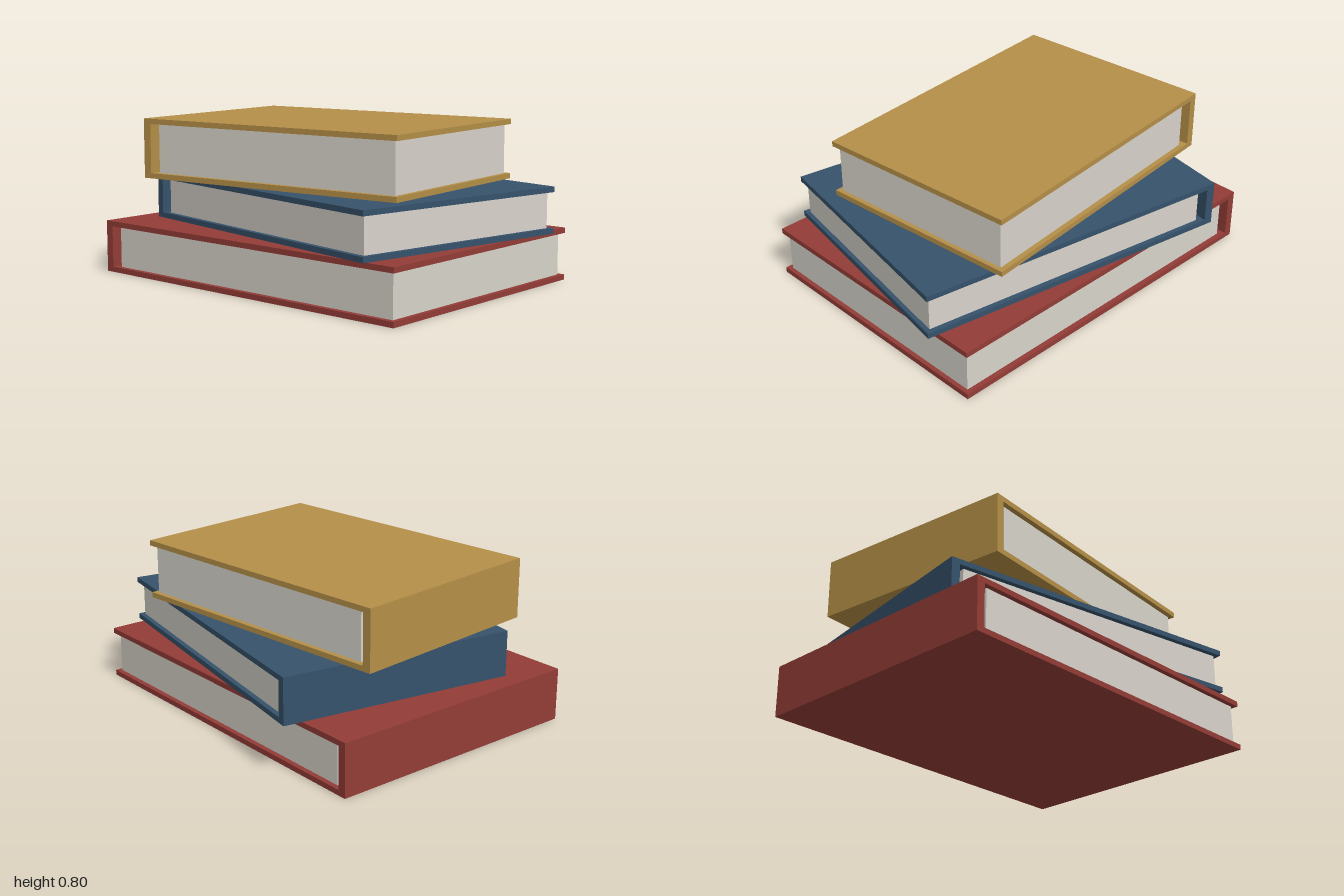
import * as THREE from 'three';

const BOARD = 0.027;  // cover thickness
const SPINE = 0.044;  // spine thickness
const GAP = 0.036;    // space between spine and pages
const INSET = 0.026;  // how far the covers overhang the pages

const material = (name, color) => {
  const m = new THREE.MeshStandardMaterial({ color });
  m.name = name;
  return m;
};

function makeBook(name, width, height, depth, cover, paper) {
  const book = new THREE.Group();
  book.name = name;
  const w = width / 2;

  // Covers and spine as one C-shaped profile, open towards +x
  const profile = new THREE.Shape([
    [-w, 0], [w, 0], [w, BOARD], [-w + SPINE, BOARD],
    [-w + SPINE, height - BOARD], [w, height - BOARD], [w, height], [-w, height],
  ].map(([x, y]) => new THREE.Vector2(x, y)));
  const caseGeometry = new THREE.ExtrudeGeometry(profile, { depth, bevelEnabled: false });
  caseGeometry.translate(0, 0, -depth / 2);
  const binding = new THREE.Mesh(caseGeometry, cover);
  binding.name = 'coverAndSpine';

  // Page block
  const left = -w + SPINE + GAP, right = w - INSET + 0.003;
  const pages = new THREE.Mesh(
    new THREE.BoxGeometry(right - left, height - 2 * BOARD, depth - 2 * INSET), paper);
  pages.position.set((left + right) / 2, height / 2, 0);
  pages.name = 'pages';

  book.add(binding, pages);
  return book;
}

export function createModel() {
  const model = new THREE.Group();
  model.name = 'bookStack';
  const paper = material('paper', 0xd8d4cb);

  // Bottom to top: name, colour, width, height, depth, x, z, turn
  const books = [
    ['bottomBook', material('redCover', 0x933c36), 1.905, 0.266, 1.373, 0, 0, 0.07],
    ['middleBook', material('blueCover', 0x36526b), 1.674, 0.232, 1.217, 0.075, -0.042, -0.103],
    ['topBook', material('goldCover', 0xb58f47), 1.527, 0.304, 1.066, -0.04, -0.004, 0.171],
  ];
  let y = 0;
  for (const [name, cover, width, height, depth, x, z, turn] of books) {
    const book = makeBook(name, width, height, depth, cover, paper);
    book.position.set(x, y, z);
    book.rotation.y = turn;
    model.add(book);
    y += height;
  }
  return model;
}
